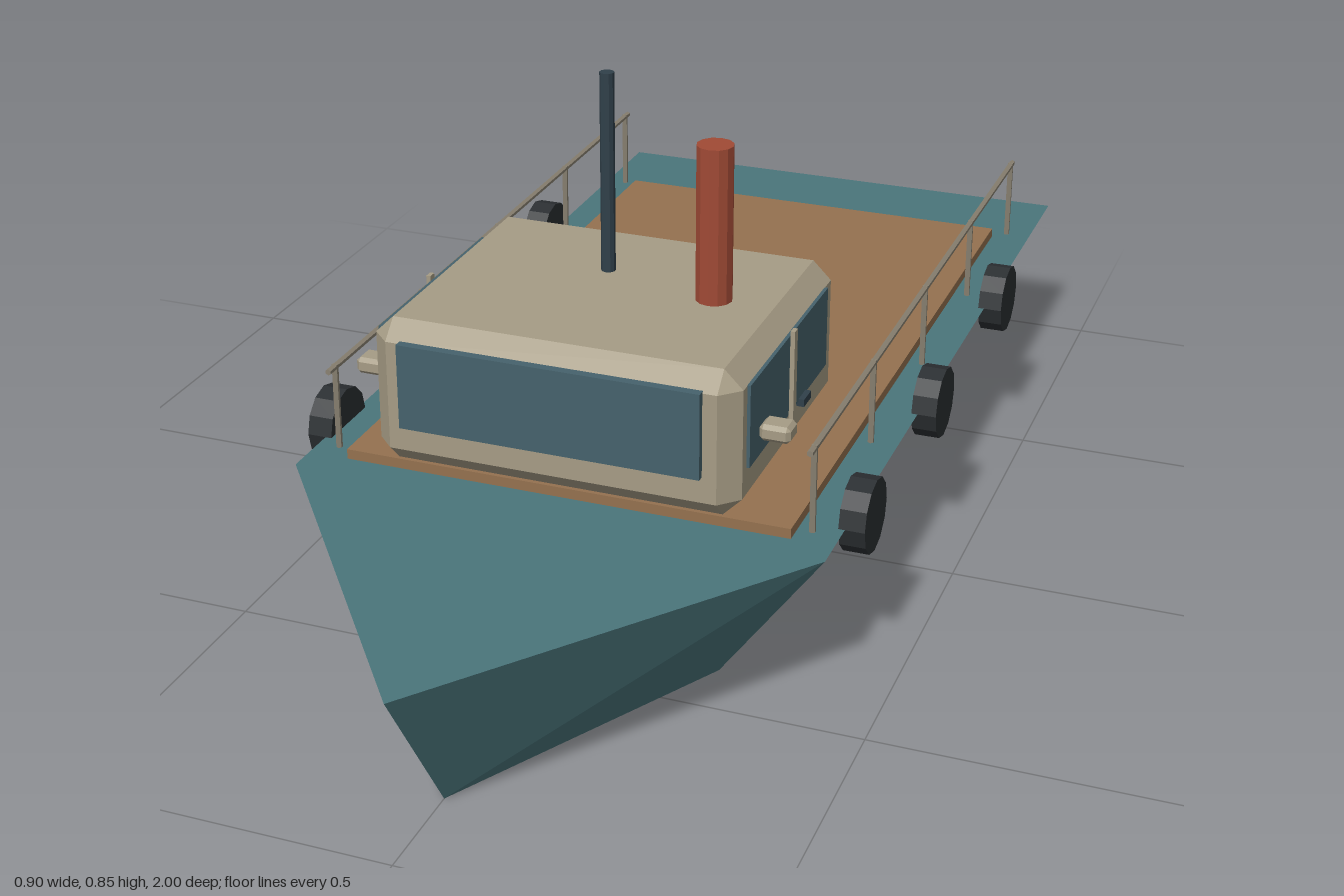
import * as THREE from 'three';
import { ConvexGeometry } from 'three/addons/geometries/ConvexGeometry.js';

const paint = (color) => new THREE.MeshStandardMaterial({ color, flatShading: true });

// Box with every edge cut by a flat bevel
function bevelBox(w, h, d, b) {
  const pts = [];
  for (const x of [-1, 1]) for (const y of [-1, 1]) for (const z of [-1, 1]) {
    for (let face = 0; face < 3; face++) {
      const inset = [b, b, b];
      inset[face] = 0;
      pts.push(new THREE.Vector3(x * (w / 2 - inset[0]), y * (h / 2 - inset[1]), z * (d / 2 - inset[2])));
    }
  }
  return new ConvexGeometry(pts);
}

export function createModel() {
  const model = new THREE.Group();
  model.name = 'boat';
  const hullPaint = paint(0x4a757b), wood = paint(0x94714f), cream = paint(0xa69c85);
  const glass = paint(0x46626c), rubber = paint(0x2b2f32), steel = paint(0x30404a);
  const red = paint(0xa04a35), railPaint = paint(0x8a8272);

  const add = (name, geometry, material, x, y, z) => {
    const mesh = new THREE.Mesh(geometry, material);
    mesh.name = name;
    mesh.position.set(x, y, z);
    model.add(mesh);
    return mesh;
  };
  const box = (w, h, d) => new THREE.BoxGeometry(w, h, d);
  const rod = (r, h, sides) => new THREE.CylinderGeometry(r, r, h, sides);

  // Hull: pointed deck outline tapering to a smaller flat bottom
  const outline = (y, w, stern, shoulder, bow) =>
    [[-w, stern], [w, stern], [w, shoulder], [0, bow], [-w, shoulder]].map(([x, z]) => new THREE.Vector3(x, y, z));
  add('hull', new ConvexGeometry([
    ...outline(0.25, 0.42, -1, 0.455, 1),
    ...outline(0, 0.245, -0.86, 0.4, 0.84),
  ]), hullPaint, 0, 0, 0);
  add('deck', box(0.71, 0.018, 1.22), wood, 0, 0.257, -0.2);

  // Cabin with front and rear windows
  add('cabin', bevelBox(0.572, 0.231, 0.476, 0.029), cream, 0, 0.3955, 0.218);
  add('frontWindow', box(0.47, 0.135, 0.014), glass, 0, 0.4175, 0.46);
  add('rearWindow', box(0.47, 0.135, 0.014), glass, 0, 0.4175, -0.02);

  // Funnel and mast
  add('funnel', rod(0.028, 0.244, 12), red, 0.168, 0.64, 0.218);
  add('mast', rod(0.011, 0.312, 10), steel, 0, 0.696, 0.218);

  // Fittings on both sides
  for (const [label, s] of [['left', 1], ['right', -1]]) {
    add(`${label}Window`, box(0.012, 0.13, 0.37), glass, s * 0.285, 0.4175, 0.225);
    add(`${label}WindowBar`, box(0.007, 0.145, 0.014), cream, s * 0.295, 0.4175, 0.223);
    add(`${label}Handle`, box(0.012, 0.012, 0.035), steel, s * 0.294, 0.351, 0.163);
    add(`${label}Lamp`, bevelBox(0.047, 0.026, 0.04, 0.006), cream, s * 0.32, 0.4, 0.37);

    // Railing
    for (let i = 0; i < 5; i++) {
      add(`${label}RailPost`, rod(0.005, 0.14, 6), railPaint, s * 0.38, 0.325, 0.387 - i * 0.302);
    }
    add(`${label}Rail`, rod(0.005, 1.245, 6), railPaint, s * 0.38, 0.391, -0.213).rotation.x = Math.PI / 2;

    // Tyre fenders
    for (const z of [0.3, -0.1, -0.54]) {
      add(`${label}Fender`, rod(0.058, 0.04, 12), rubber, s * 0.43, 0.25, z).rotation.z = Math.PI / 2;
    }
  }
  return model;
}
